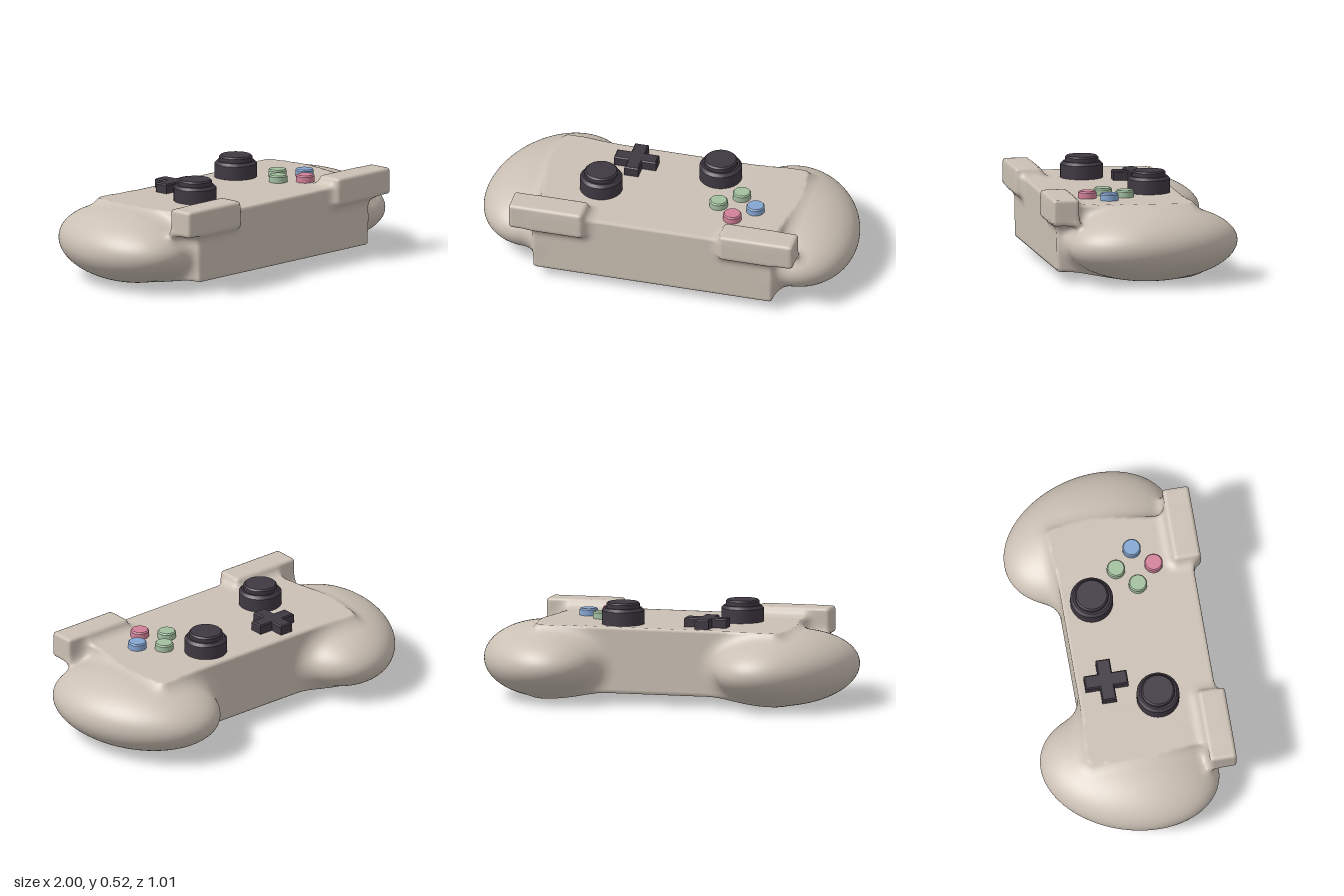
import * as THREE from 'three';

const mat = (name, color) => {
  const m = new THREE.MeshStandardMaterial({ color });
  m.name = name;
  return m;
};

// Distance rules for the blended shell
const smoothMin = (a, b, k) => {
  const h = Math.max(k - Math.abs(a - b), 0);
  return Math.min(a, b) - (h * h) / (4 * k);
};

const roundBox = (x, y, z, hx, hy, hz, r) => {
  const a = Math.abs(x) - hx + r, b = Math.abs(y) - hy + r, c = Math.abs(z) - hz + r;
  return Math.hypot(Math.max(a, 0), Math.max(b, 0), Math.max(c, 0)) +
    Math.min(Math.max(a, b, c), 0) - r;
};

const ellipsoid = (x, y, z, rx, ry, rz) => {
  const k0 = Math.hypot(x / rx, y / ry, z / rz);
  const k1 = Math.hypot(x / (rx * rx), y / (ry * ry), z / (rz * rz));
  return k1 < 1e-6 ? -Math.min(rx, ry, rz) : (k0 * (k0 - 1)) / k1;
};

const TILT = 0.33, COS = Math.cos(TILT), SIN = Math.sin(TILT);
const TOP = 0.406;

function shellDistance(px, y, z) {
  const x = Math.abs(px);
  const body = roundBox(x, y - 0.23, z - 0.0975, 0.645, 0.175, 0.3575, 0.012);
  // grip: egg turned outward at the front
  const gx = x - 0.65, gz = z + 0.05;
  const grip = ellipsoid(gx * COS - gz * SIN, y - 0.2, gx * SIN + gz * COS, 0.332, 0.197, 0.473);
  const main = Math.max(smoothMin(body, grip, 0.09), y - TOP);
  // shoulder button block
  const shoulder = roundBox(x - 0.57, y - 0.385, z - 0.43, 0.198, 0.07, 0.07, 0.016);
  return smoothMin(main, shoulder, 0.07);
}

function gradient(p) {
  const e = 0.004, [x, y, z] = p;
  const g = new THREE.Vector3(
    shellDistance(x + e, y, z) - shellDistance(x - e, y, z),
    shellDistance(x, y + e, z) - shellDistance(x, y - e, z),
    shellDistance(x, y, z + e) - shellDistance(x, y, z - e));
  return g.lengthSq() < 1e-14 ? g.set(0, 1, 0) : g.normalize();
}

// Wraps a regular quad skin around the zero level of the distance rule
function shellGeometry() {
  const h = 0.0125, n = [166, 42, 86], origin = [-83 * h, -0.03, -0.536];
  const stride = [1, n[0], n[0] * n[1]];
  const field = new Float32Array(n[0] * n[1] * n[2]);
  const at = (i, j, k) => i + j * stride[1] + k * stride[2];
  for (let k = 0; k < n[2]; k++)
    for (let j = 0; j < n[1]; j++)
      for (let i = 0; i < n[0]; i++)
        field[at(i, j, k)] = shellDistance(origin[0] + i * h, origin[1] + j * h, origin[2] + k * h);

  const positions = [], normals = [], indices = [], cells = new Map();
  const corner = (cell) => {
    if (cells.has(cell)) return cells.get(cell);
    const c = [cell % n[0], Math.floor(cell / n[0]) % n[1], Math.floor(cell / stride[2])];
    const p = c.map((v, a) => origin[a] + (v + 0.5) * h);
    for (let s = 0; s < 5; s++) {
      const d = shellDistance(...p), g = gradient(p);
      p[0] -= g.x * d;
      p[1] -= g.y * d;
      p[2] -= g.z * d;
    }
    const g = gradient(p), id = positions.length / 3;
    positions.push(...p);
    normals.push(g.x, g.y, g.z);
    cells.set(cell, id);
    return id;
  };

  for (let k = 1; k < n[2] - 1; k++)
    for (let j = 1; j < n[1] - 1; j++)
      for (let i = 1; i < n[0] - 1; i++) {
        const c = at(i, j, k), inside = field[c] < 0;
        for (let a = 0; a < 3; a++) {
          if (inside === field[c + stride[a]] < 0) continue;
          const u = stride[(a + 1) % 3], v = stride[(a + 2) % 3];
          const q = [c, c - u, c - u - v, c - v].map(corner);
          if (!inside) q.reverse();
          indices.push(q[0], q[1], q[2], q[0], q[2], q[3]);
        }
      }

  const geo = new THREE.BufferGeometry();
  geo.setAttribute('position', new THREE.Float32BufferAttribute(positions, 3));
  geo.setAttribute('normal', new THREE.Float32BufferAttribute(normals, 3));
  geo.setIndex(indices);
  return geo;
}

// Turned part with crisp edges: each profile segment gets its own normals
function turned(profile) {
  const pts = [];
  profile.forEach(([r, y], i) => {
    pts.push(new THREE.Vector2(r, y));
    if (i > 0 && i < profile.length - 1) pts.push(new THREE.Vector2(r, y));
  });
  const group = [];
  for (let i = 0; i < pts.length; i += 2) group.push(new THREE.LatheGeometry([pts[i], pts[i + 1]], 40));
  return group;
}

export function createModel() {
  const model = new THREE.Group();
  model.name = 'gamepad';
  const shellMat = mat('warm grey shell', 0xcbc0b4);
  const dark = mat('dark control', 0x3f3842);
  const green = mat('soft green', 0xa3bf9f);
  const blue = mat('soft blue', 0x84a6d2);
  const pink = mat('soft pink', 0xd28199);

  const add = (parent, name, geo, material) => {
    const m = new THREE.Mesh(geo, material);
    m.name = name;
    parent.add(m);
    return m;
  };
  const addTurned = (name, profile, material, x, z) => {
    const g = new THREE.Group();
    g.name = name;
    g.position.set(x, TOP, z);
    turned(profile).forEach((geo) => add(g, name + 'Surface', geo, material));
    model.add(g);
  };

  add(model, 'shell', shellGeometry(), shellMat);

  // Thumbsticks: bevelled base and a smaller cap
  const stick = [[0.112, -0.02], [0.112, 0.07], [0.098, 0.085], [0.088, 0.085],
    [0.088, 0.106], [0.08, 0.114], [0, 0.114]];
  addTurned('rightThumbstick', stick, dark, -0.355, 0.15);
  addTurned('leftThumbstick', stick, dark, 0.225, -0.105);

  // Face buttons
  const button = [[0.048, -0.02], [0.048, 0.03], [0.042, 0.037], [0, 0.037]];
  addTurned('backButton', button, green, 0.38, 0.05);
  addTurned('innerButton', button, green, 0.28, 0.15);
  addTurned('outerButton', button, blue, 0.48, 0.15);
  addTurned('frontButton', button, pink, 0.38, 0.25);

  // Direction pad: one bevelled cross
  const a = 0.032, b = 0.108;
  const cross = new THREE.Shape([
    [a, a], [a, b], [-a, b], [-a, a], [-b, a], [-b, -a],
    [-a, -a], [-a, -b], [a, -b], [a, -a], [b, -a], [b, a],
  ].map(([x, y]) => new THREE.Vector2(x, y)));
  const padGeo = new THREE.ExtrudeGeometry(cross, {
    depth: 0.05, bevelEnabled: true, bevelThickness: 0.006, bevelSize: 0.006, bevelSegments: 1,
  });
  padGeo.rotateX(-Math.PI / 2);
  add(model, 'directionPad', padGeo, dark).position.set(-0.23, 0.399, -0.105);

  return model;
}
